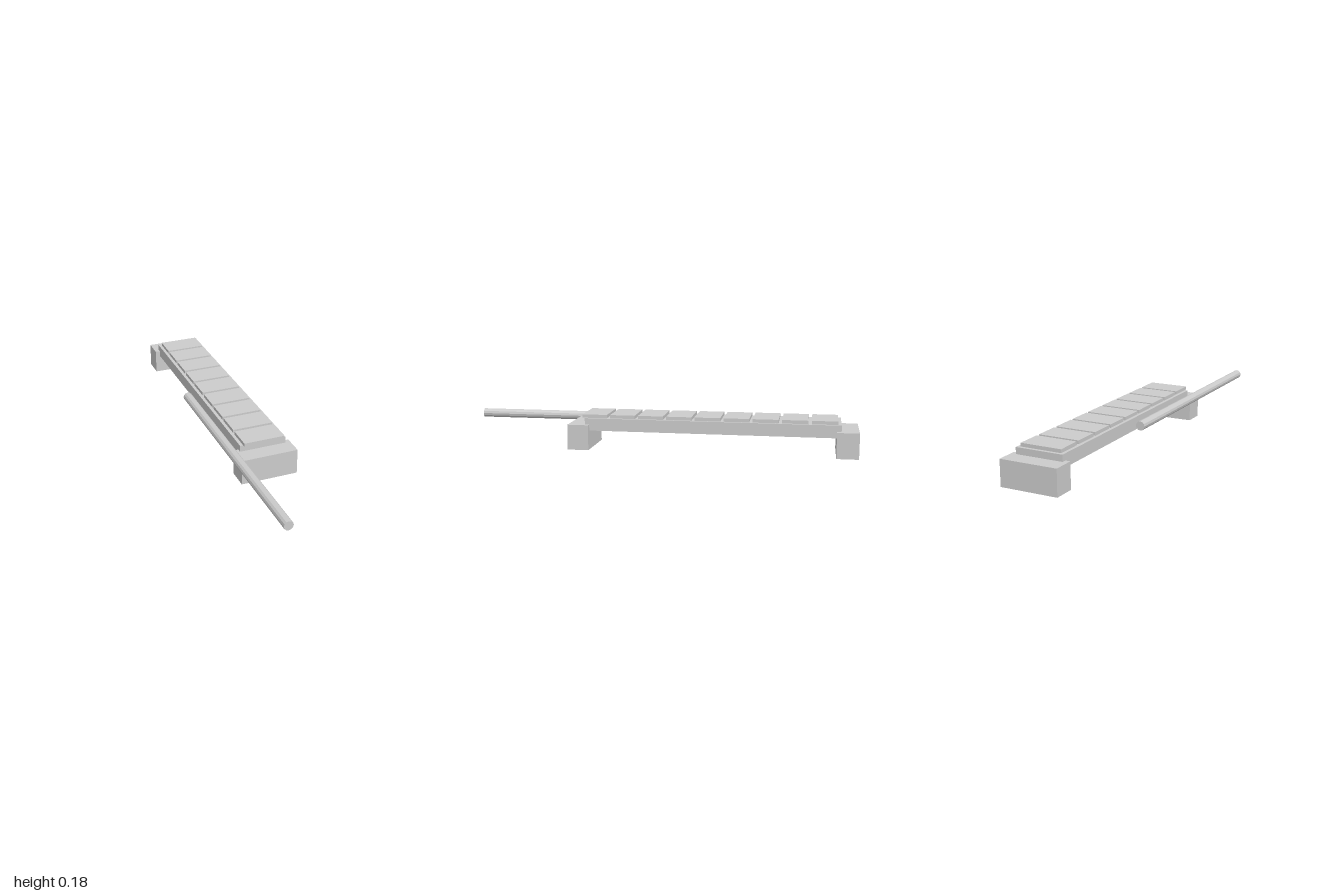
import * as THREE from 'three';

export function createModel() {
  const model = new THREE.Group();
  const material = new THREE.MeshStandardMaterial({ color: 0xcccccc, flatShading: true });

  // Adds a named box from its lower and upper bounds on each axis
  function addBox(name, [x0, x1], [y0, y1], [z0, z1]) {
    const mesh = new THREE.Mesh(new THREE.BoxGeometry(x1 - x0, y1 - y0, z1 - z0), material);
    mesh.name = name;
    mesh.position.set((x0 + x1) / 2, (y0 + y1) / 2, (z0 + z1) / 2);
    model.add(mesh);
  }

  // Support blocks at both ends
  addBox('frontSupport', [-0.125, 0.163], [0, 0.128], [0.341, 0.449]);
  addBox('backSupport', [-0.125, 0.163], [0, 0.128], [-1, -0.892]);

  // Long beam resting in the supports
  addBox('beam', [-0.1, 0.138], [0.097, 0.16], [-0.914, 0.364]);

  // Row of flat slats along the beam
  const slatCount = 9, pitch = 0.1438, slatLength = 0.127;
  for (let i = 0; i < slatCount; i++) {
    const z = 0.316 - i * pitch;
    addBox(`slat${i + 1}`, [-0.084, 0.123], [0.16, 0.177], [z - slatLength / 2, z + slatLength / 2]);
  }

  // Round pole lying alongside, reaching past the front
  const poleBack = -0.277, poleFront = 1;
  const pole = new THREE.Mesh(
    new THREE.CylinderGeometry(0.0232, 0.0232, poleFront - poleBack, 12).rotateX(Math.PI / 2), material);
  pole.name = 'pole';
  pole.position.set(-0.14, 0.128, (poleBack + poleFront) / 2);
  model.add(pole);

  return model;
}
